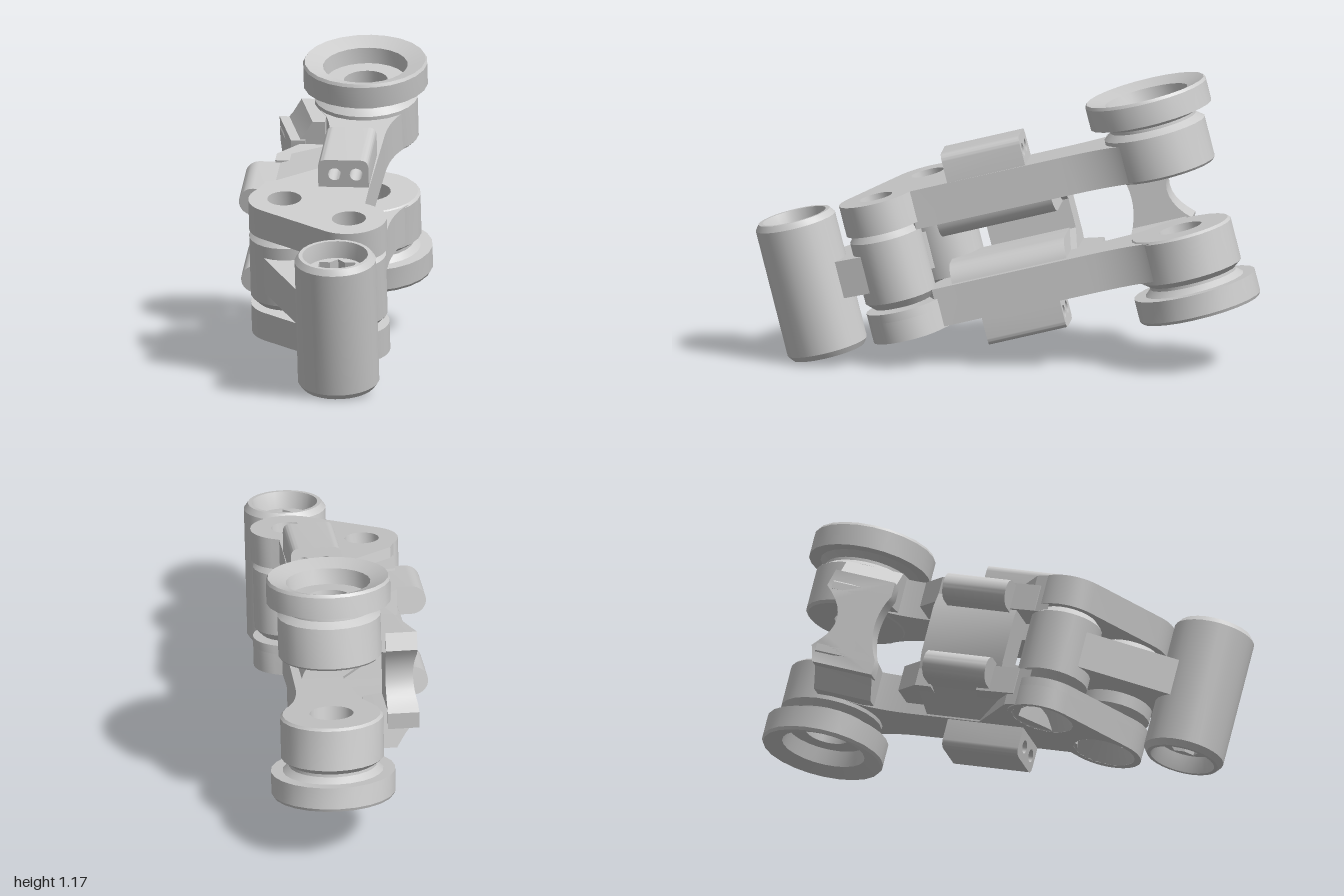
import * as THREE from 'three';
import { toCreasedNormals } from 'three/addons/utils/BufferGeometryUtils.js';

const material = new THREE.MeshStandardMaterial({ color: 0xcccccc, side: THREE.DoubleSide });
const V = (x, y) => new THREE.Vector2(x, y);

export function createModel() {
  const model = new THREE.Group();
  model.name = 'jointedLink';
  const body = new THREE.Group();
  body.name = 'tiltedAssembly';
  model.add(body);

  function add(name, geometry, x = 0, y = 0, z = 0) {
    const mesh = new THREE.Mesh(toCreasedNormals(geometry, 0.45), material);
    mesh.name = name;
    mesh.position.set(x, y, z);
    body.add(mesh);
  }

  // Copy reflected through the middle plane, with corner order reversed
  function mirrored(geometry) {
    const g = geometry.index ? geometry.toNonIndexed() : geometry.clone();
    g.scale(1, -1, 1);
    const p = g.attributes.position;
    const a = new THREE.Vector3(), b = new THREE.Vector3();
    for (let i = 0; i < p.count; i += 3) {
      a.fromBufferAttribute(p, i + 1);
      b.fromBufferAttribute(p, i + 2);
      p.setXYZ(i + 1, b.x, b.y, b.z);
      p.setXYZ(i + 2, a.x, a.y, a.z);
    }
    return g;
  }
  function addPair(name, geometry, x = 0, z = 0) {
    add('upper' + name, geometry, x, 0, z);
    add('lower' + name, mirrored(geometry), x, 0, z);
  }

  const lathe = (points, n = 24) => new THREE.LatheGeometry(points.map(([r, y]) => V(r, y)), n);
  const extrude = (shape, depth) =>
    new THREE.ExtrudeGeometry(shape, { depth, bevelEnabled: false, curveSegments: 10 });
  const polygon = (points) => new THREE.Shape(points.map(([x, y]) => V(x, y)));

  // Plan outline in x, z, raised from y0 to y1
  const plan = (shape, y0, y1) => extrude(shape, y1 - y0).rotateX(-Math.PI / 2).translate(0, y0, 0);
  const planPolygon = (points) => polygon(points.map(([x, z]) => [x, -z]));
  // Cross-section in x, y, run from z0 to z1
  const run = (shape, z0, z1) => extrude(shape, z1 - z0).translate(0, 0, z0);
  // Side outline in z, y, run from x0 to x1
  const side = (shape, x0, x1) => extrude(shape, x1 - x0).rotateY(-Math.PI / 2).translate(x1, 0, 0);

  function hole(shape, x, y, r) {
    const path = new THREE.Path();
    path.absarc(x, y, r, 0, Math.PI * 2, true);
    shape.holes.push(path);
  }

  // Outline around two circles [x, z, r]
  function capsule([ax, az, ar], [bx, bz, br], holes) {
    const dx = bx - ax, dy = az - bz;
    const angle = Math.atan2(dy, dx), t = Math.acos((ar - br) / Math.hypot(dx, dy));
    const s = new THREE.Shape();
    s.absarc(bx, -bz, br, angle - t, angle + t, false);
    s.absarc(ax, -az, ar, angle + t, angle - t + Math.PI * 2, false);
    for (const [x, z, r] of holes) hole(s, x, -z, r);
    return s;
  }

  const pinA = [-0.135, 0.163], pinB = [0.14, 0.343], pins = [pinA, pinB];
  const plate = (r) => capsule([...pinA, 0.143], [...pinB, 0.15], pins.map((p) => [...p, r]));

  // Front link plates; the lower one is countersunk from below
  add('upperLinkPlate', plan(plate(0.068), 0.155, 0.28));
  add('lowerLinkPlate', plan(plate(0.068), -0.2, -0.165));
  add('lowerLinkPlateRim', plan(plate(0.125), -0.285, -0.2));
  for (const [x, z] of pins) {
    add('countersink', lathe([[0.068, -0.2], [0.125, -0.285]]), x, 0, z);
    add('pivotBarrel', lathe([
      [0.06, -0.155], [0.115, -0.155], [0.144, -0.125], [0.144, 0.125],
      [0.115, 0.155], [0.06, 0.155], [0.06, -0.155]]), x, 0, z);
  }

  // Tapered web from the pivot to the socket, stopped short of both bores
  add('socketWeb', plan(planPolygon([
    [-0.235, 0.24], [-0.02, 0.64], [0.02, 0.585], [0.16, 0.555], [0.21, 0.6], [0.25, 0.4],
    [0.14, 0.42], [0.06, 0.36], [0.0, 0.2], [-0.07, 0.2], [-0.135, 0.24]]), -0.075, 0.075));

  // Upright socket with chamfered ends and a star-shaped bore
  add('socket', lathe([
    [0.115, -0.215], [0.13, -0.281], [0.145, -0.281], [0.162, -0.258], [0.162, 0.258],
    [0.145, 0.281], [0.13, 0.281], [0.115, 0.215], [0.115, -0.215]], 28), 0.12, -0.006, 0.682);
  const core = new THREE.Shape();
  core.absarc(0, 0, 0.118, 0, Math.PI * 2, false);
  const star = Array.from({ length: 16 }, (_, i) => {
    const r = i % 2 ? 0.078 : 0.102, t = i * Math.PI / 8;
    return V(r * Math.cos(t), r * Math.sin(t));
  });
  core.holes.push(new THREE.Path(star));
  add('starBore', plan(core, -0.215, 0.215), 0.12, -0.006, 0.682);

  // Arms with a concave flare into the rear hubs
  const arm = new THREE.Shape();
  arm.moveTo(0.26, 0.69);
  arm.quadraticCurveTo(0.2, 0.6, 0.2, 0.42);
  arm.lineTo(0.19, -0.06);
  for (const [x, z] of [[0.19, 0.21], [0.1, 0.24], [-0.04, 0.15], [-0.135, 0.06],
    [-0.265, 0.12], [-0.235, 0.03], [-0.02, -0.14], [-0.02, -0.42]]) arm.lineTo(x, -z);
  arm.quadraticCurveTo(-0.02, 0.6, -0.08, 0.69);
  arm.closePath();
  addPair('Arm', plan(arm, 0.125, 0.28));

  // Rear hubs with dished, bevelled wheels
  addPair('HubAndWheel', lathe([
    [0.087, 0.12], [0.195, 0.12], [0.205, 0.13], [0.205, 0.295], [0.175, 0.318], [0.175, 0.33],
    [0.2, 0.352], [0.247, 0.352], [0.247, 0.44], [0.24, 0.452], [0.168, 0.428], [0.16, 0.365],
    [0.087, 0.365], [0.087, 0.12]]), 0.092, -0.8);

  // Raised blocks with rounded top edges and two through holes
  const block = new THREE.Shape();
  block.moveTo(-0.012, 0.27);
  block.lineTo(0.189, 0.27);
  block.lineTo(0.189, 0.36);
  block.quadraticCurveTo(0.189, 0.396, 0.155, 0.396);
  block.lineTo(0.022, 0.396);
  block.quadraticCurveTo(-0.012, 0.396, -0.012, 0.36);
  block.closePath();
  for (const x of [0.054, 0.14]) hole(block, x, 0.335, 0.026);
  addPair('DrilledBlock', run(block, -0.276, 0.044));

  // Rounded pads on the inner faces of the arms
  const pad = new THREE.Shape();
  pad.moveTo(-0.1, 0.13);
  pad.lineTo(-0.1, 0.055);
  pad.lineTo(0.08, 0.055);
  pad.quadraticCurveTo(0.15, 0.06, 0.165, 0.13);
  pad.closePath();
  addPair('InnerPad', run(pad, -0.34, 0.13));

  // Side wall joining the arms, with sloping shoulders
  const half = [[0, 0.278], [-0.2, 0.225], [-0.24, 0.1]];
  add('sideWall', run(polygon([
    ...half, ...half.map(([x, y]) => [x, -y]).reverse(),
    [0, -0.125], [-0.1, -0.06], [-0.1, 0.06], [0, 0.125]]), -0.365, -0.02));
  addPair('FrontShoulder', plan(planPolygon([
    [-0.02, -0.15], [-0.24, -0.1], [-0.25, 0.06], [-0.2, 0.07], [-0.02, 0.05]]), 0.125, 0.235));
  addPair('RearShoulder', plan(planPolygon([
    [0, -0.3], [0, -0.46], [-0.14, -0.46], [-0.22, -0.365], [-0.22, -0.3]]), 0.13, 0.235));

  // Rounded side lugs
  const lug = new THREE.Shape();
  lug.moveTo(-0.15, 0.11);
  lug.lineTo(-0.15, 0.225);
  lug.lineTo(-0.283, 0.225);
  lug.absarc(-0.283, 0.168, 0.057, Math.PI / 2, Math.PI * 1.5, false);
  lug.closePath();
  addPair('SideLug', run(lug, -0.31, -0.045));

  // Rear C-shaped bracket beside the hubs, thinning towards the front
  function taper(geometry) {
    const p = geometry.attributes.position;
    for (let i = 0; i < p.count; i++) {
      if (p.getX(i) < -0.15) p.setX(i, p.getX(i) + 0.3 * Math.max(0, p.getZ(i) + 0.8));
    }
    return geometry;
  }
  const bracket = new THREE.Shape();
  bracket.moveTo(-0.57, -0.2);
  bracket.lineTo(-0.57, -0.14);
  bracket.quadraticCurveTo(-0.64, 0, -0.57, 0.14);
  bracket.lineTo(-0.57, 0.2);
  bracket.lineTo(-0.8, 0.2);
  bracket.lineTo(-0.82, 0.13);
  bracket.quadraticCurveTo(-0.68, 0, -0.82, -0.13);
  bracket.lineTo(-0.8, -0.2);
  bracket.closePath();
  add('rearBracket', taper(side(bracket, -0.255, -0.13)));
  addPair('BracketEar', taper(run(polygon([
    [-0.255, 0.12], [-0.255, 0.15], [-0.2, 0.22], [-0.165, 0.278], [-0.05, 0.278], [-0.05, 0.13],
    [-0.13, 0.12]]), -0.8, -0.58)));

  // Tilt the assembly, then stand it on the ground and centre it
  body.rotation.x = 0.248;
  model.updateMatrixWorld(true);
  const box = new THREE.Box3().setFromObject(model, true);
  const centre = box.getCenter(new THREE.Vector3());
  body.position.set(-centre.x, -box.min.y, -centre.z);
  return model;
}
